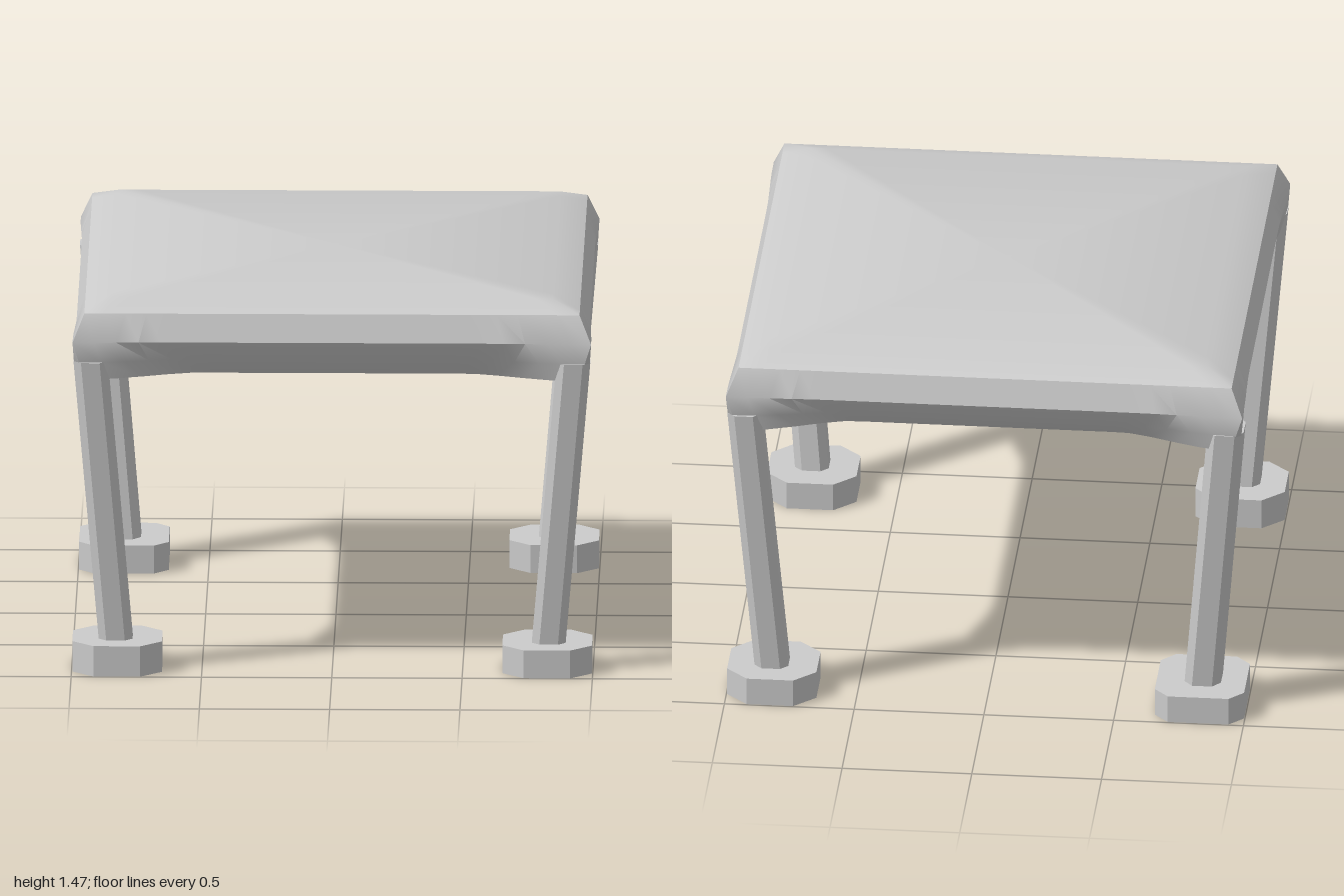
import * as THREE from 'three';
import { toCreasedNormals } from 'three/addons/utils/BufferGeometryUtils.js';

const material = new THREE.MeshStandardMaterial({ color: 0xcccccc });
const flatMaterial = new THREE.MeshStandardMaterial({ color: 0xcccccc, flatShading: true });

// Rows from bottom to top: height, half width mid-edge, half width at the corners, corner reach
const rows = [
  { y: 1.17, mid: 0.86, corner: 0.975, reach: 0.95 },
  { y: 1.24, mid: 0.935, corner: 0.99, reach: 0.98 },
  { y: 1.32, mid: 0.985, corner: 0.995, reach: 1 },
  { y: 1.425, mid: 0.95, corner: 0.95, reach: 1 },
  { y: 1.465, mid: 0.845, corner: 0.845, reach: 1 },
];

// Square cushion whose lower edge tucks in between the corners
function cushionGeometry() {
  const steps = 24, perRing = 4 * (steps + 1);
  const pos = [], index = [];
  for (const row of rows) {
    for (let side = 0; side < 4; side++) {
      for (let k = 0; k <= steps; k++) {
        const t = (2 * k / steps - 1) * row.reach;
        const flare = THREE.MathUtils.smoothstep(Math.abs(t), 0.6, 0.95);
        const r = THREE.MathUtils.lerp(row.mid, row.corner, flare);
        let x = t * r, z = r;
        for (let q = 0; q < side; q++) [x, z] = [z, -x];
        pos.push(x, row.y, z);
      }
    }
  }
  const bottom = pos.length / 3, top = bottom + 1;
  pos.push(0, rows[0].y, 0, 0, rows[rows.length - 1].y, 0);
  const last = (rows.length - 1) * perRing;
  for (let i = 0; i < perRing; i++) {
    const n = (i + 1) % perRing;
    for (let j = 0; j < rows.length - 1; j++) {
      const a = j * perRing, b = a + perRing;
      index.push(a + i, a + n, b + i, a + n, b + n, b + i);
    }
    index.push(bottom, n, i, top, last + i, last + n);
  }
  const g = new THREE.BufferGeometry();
  g.setAttribute('position', new THREE.Float32BufferAttribute(pos, 3));
  g.setIndex(index);
  return toCreasedNormals(g, 0.7);
}

// Upright prism with a chamfered-square section
function octagonPrism(hx, hz, flat, height) {
  const f = flat;
  const corners = [
    [hx, f * hz], [f * hx, hz], [-f * hx, hz], [-hx, f * hz],
    [-hx, -f * hz], [-f * hx, -hz], [f * hx, -hz], [hx, -f * hz],
  ];
  const shape = new THREE.Shape(corners.map(([x, z]) => new THREE.Vector2(x, z)));
  const g = new THREE.ExtrudeGeometry(shape, { depth: height, bevelEnabled: false });
  return g.rotateX(-Math.PI / 2);
}

function part(name, geometry, mat) {
  const mesh = new THREE.Mesh(geometry, mat);
  mesh.name = name;
  return mesh;
}

export function createModel() {
  const model = new THREE.Group();
  model.name = 'stool';
  model.add(part('seat', cushionGeometry(), material));

  // Legs lean outward towards the top; the back leg on the -x side is heavier
  for (const sx of [-1, 1]) {
    for (const sz of [-1, 1]) {
      const heavy = sx < 0 && sz < 0;
      const name = (sz > 0 ? 'front' : 'back') + (sx > 0 ? 'Left' : 'Right');
      const footHeight = sx < 0 && sz > 0 ? 0.12 : 0.11;

      const foot = part(name + 'Foot',
        octagonPrism(0.172, heavy ? 0.18 : 0.165, heavy ? 0.68 : 0.52, footHeight), flatMaterial);
      foot.position.set(sx * 0.825, 0, sz * (heavy ? 0.815 : 0.83));
      model.add(foot);

      const legTop = 1.24, legBase = 0.08;
      const half = heavy ? 0.082 : 0.065;
      const g = octagonPrism(Math.min(half, 0.07), half, 0.55, legTop - legBase);
      const p = g.attributes.position;
      for (let i = 0; i < p.count; i++) {
        const lean = 0.085 * p.getY(i);
        p.setX(i, p.getX(i) + sx * lean);
        p.setZ(i, p.getZ(i) + sz * lean);
      }
      const leg = part(name + 'Leg', g, flatMaterial);
      leg.position.set(sx * 0.828, legBase, sz * (heavy ? 0.812 : 0.835));
      model.add(leg);
    }
  }
  return model;
}
